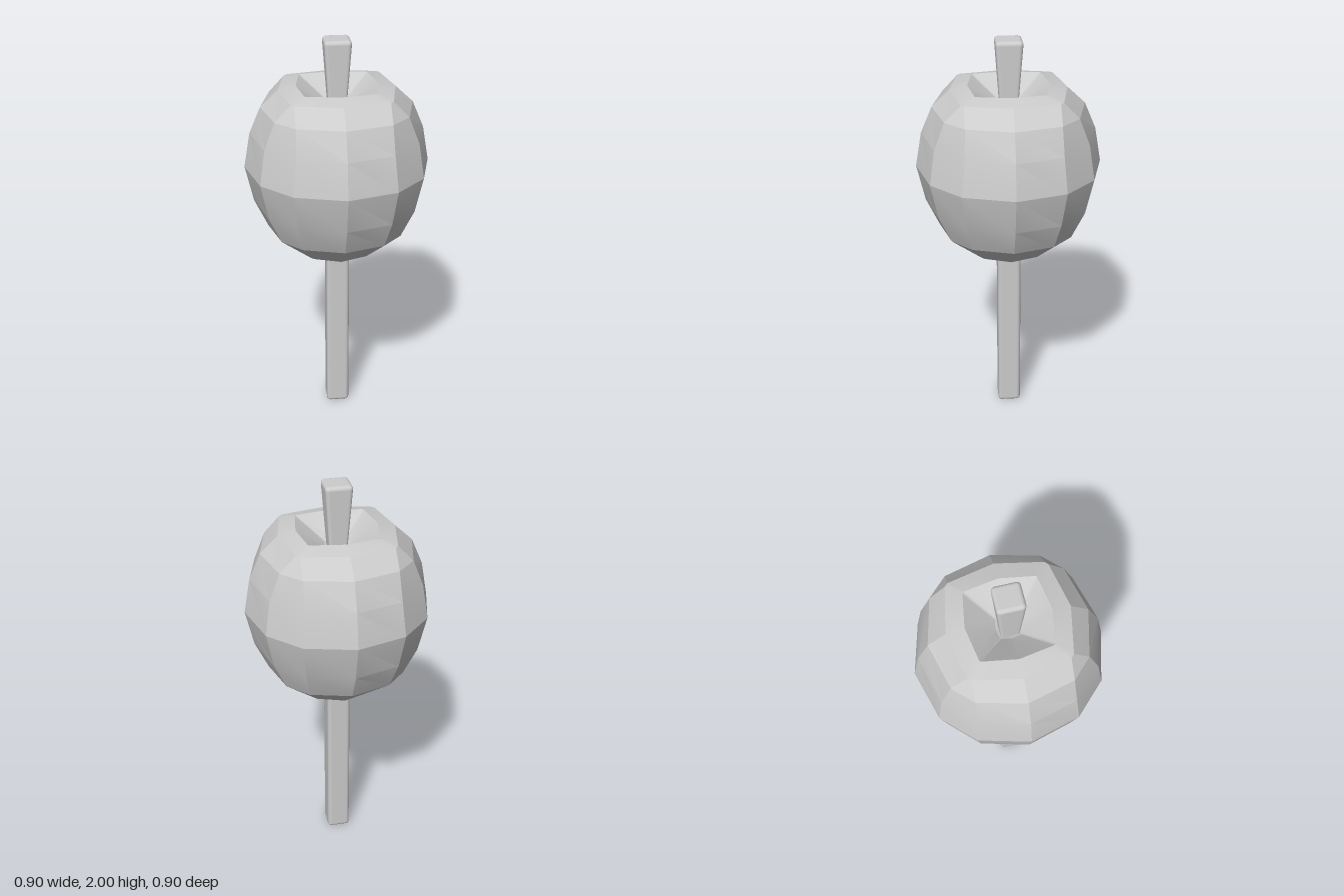
import * as THREE from 'three';
import { toCreasedNormals } from 'three/addons/utils/BufferGeometryUtils.js';
import { RoundedBoxGeometry } from 'three/addons/geometries/RoundedBoxGeometry.js';

// Rings from bottom to crater floor: height, radius on the axes, and the
// (c, d) corner point mirrored into each quadrant; 12 columns in all.
const RINGS = [
  [0.905, 0, 0, 0],
  [0.93, 0.19, 0.145, 0.13],
  [1.06, 0.345, 0.29, 0.195],
  [1.2, 0.41, 0.35, 0.22],
  [1.38, 0.45, 0.385, 0.24],
  [1.55, 0.42, 0.36, 0.225],
  [1.68, 0.365, 0.31, 0.22],
  [1.76, 0.28, 0.235, 0.22],
  [1.78, 0.195, 0.168, 0.162],
  [1.69, 0.06, 0.05, 0.045],
  [1.67, 0, 0, 0],
];

function ringPoints([y, a, c, d]) {
  const points = [];
  for (let q = 0; q < 4; q++) {
    for (const [u, v] of [[a, 0], [c, d], [d, c]]) {
      let x = u, z = v;
      for (let k = 0; k < q; k++) [x, z] = [-z, x];
      points.push(new THREE.Vector3(x, y, z));
    }
  }
  return points;
}

function fruitGeometry() {
  const rings = RINGS.map(ringPoints);
  const out = [];
  const tri = (a, b, c) => {
    const area = b.clone().sub(a).cross(c.clone().sub(a)).length();
    if (area > 1e-8) for (const p of [a, b, c]) out.push(p.x, p.y, p.z);
  };
  for (let i = 0; i < rings.length - 1; i++) {
    for (let j = 0; j < 12; j++) {
      const k = (j + 1) % 12;
      const a = rings[i][j], b = rings[i + 1][j], c = rings[i + 1][k], d = rings[i][k];
      tri(a, b, c);
      tri(a, c, d);
    }
  }
  const geometry = new THREE.BufferGeometry();
  geometry.setAttribute('position', new THREE.Float32BufferAttribute(out, 3));
  return toCreasedNormals(geometry, 0.22);
}

// Rounded square post between two heights, tapering from bottom to top width
function postGeometry(y0, y1, bottom, top) {
  const h = y1 - y0;
  const geometry = new RoundedBoxGeometry(1, h, 1, 3, 0.02);
  const p = geometry.attributes.position;
  const round = new RoundedBoxGeometry(top, h, top, 3, 0.02);
  p.copy(round.attributes.position);
  geometry.attributes.normal.copy(round.attributes.normal);
  for (let i = 0; i < p.count; i++) {
    const t = p.getY(i) / h + 0.5;
    const s = THREE.MathUtils.lerp(bottom / top, 1, t);
    p.setXYZ(i, p.getX(i) * s, p.getY(i) + (y0 + y1) / 2, p.getZ(i) * s);
  }
  return geometry;
}

export function createModel() {
  const grey = new THREE.MeshStandardMaterial({ color: 0xcccccc });
  grey.name = 'grey';
  const group = new THREE.Group();
  group.name = 'fruitOnStick';
  const add = (name, geometry) => {
    const mesh = new THREE.Mesh(geometry, grey);
    mesh.name = name;
    group.add(mesh);
  };
  add('fruit', fruitGeometry());
  add('stick', postGeometry(0, 0.97, 0.117, 0.117));
  add('stem', postGeometry(1.64, 2, 0.082, 0.132));
  return group;
}
